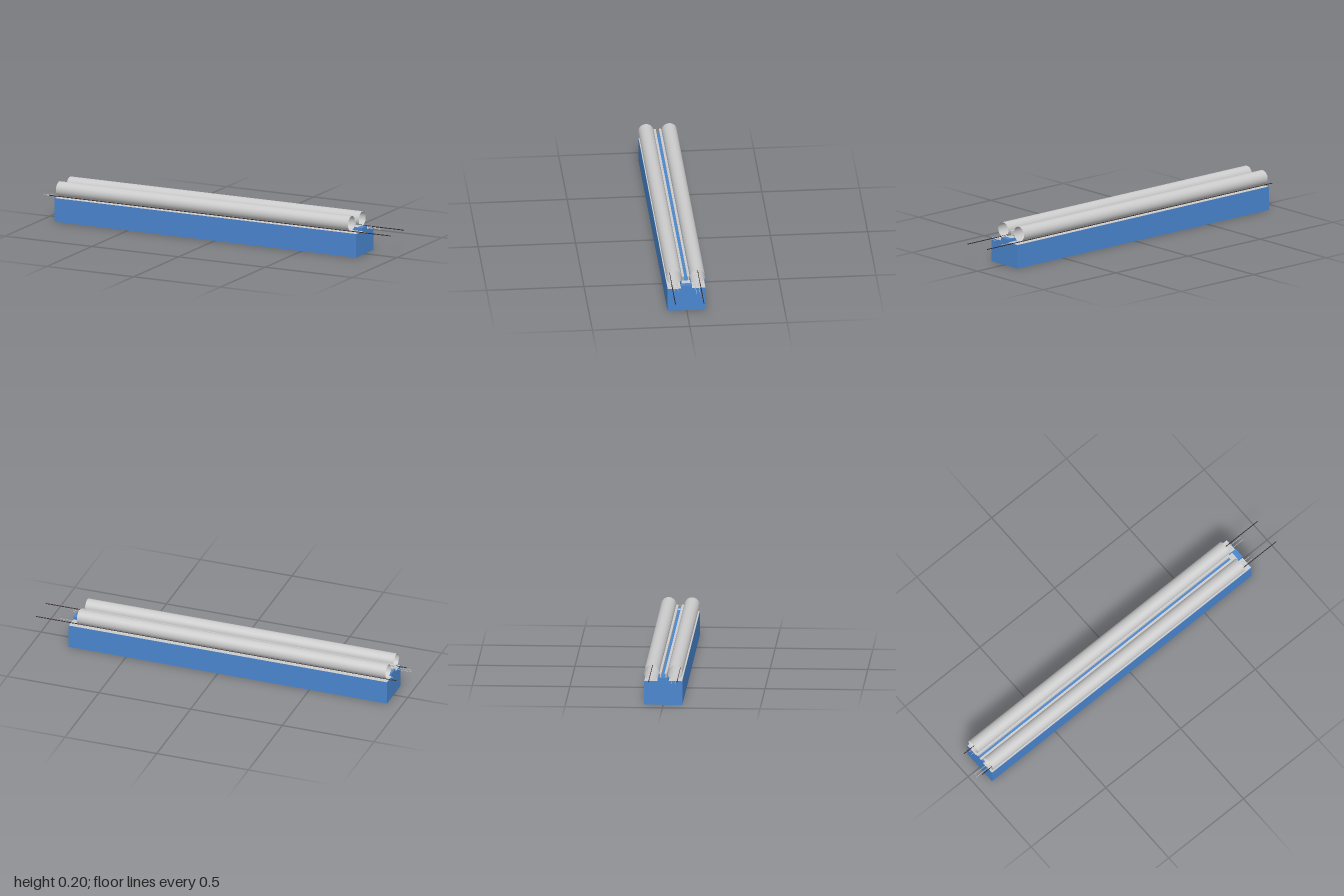
import * as THREE from 'three';

export function createModel() {
  const root = new THREE.Group();
  const material = (color) => new THREE.MeshStandardMaterial({ color, side: THREE.DoubleSide });
  const blue = material(0x4a86cf);
  const grey = material(0xcccccc);
  const dark = material(0x332424);

  // Box given by its limits on each axis
  function block(name, mat, [x0, x1], [y0, y1], [z0, z1]) {
    const mesh = new THREE.Mesh(new THREE.BoxGeometry(x1 - x0, y1 - y0, z1 - z0), mat);
    mesh.position.set((x0 + x1) / 2, (y0 + y1) / 2, (z0 + z1) / 2);
    mesh.name = name;
    root.add(mesh);
  }

  // Cylinder lying along x
  function rod(name, mat, x0, x1, y, z, radius, sides, open = false) {
    const geometry = new THREE.CylinderGeometry(radius, radius, x1 - x0, sides, 1, open);
    geometry.rotateZ(Math.PI / 2);
    const mesh = new THREE.Mesh(geometry, mat);
    mesh.position.set((x0 + x1) / 2, y, z);
    mesh.name = name;
    root.add(mesh);
  }

  const left = 0.813, right = -0.923, half = 0.098, top = 0.124, wall = 0.001;
  const span = [right, left];

  // Long housing, open underneath
  block('endWallLeft', blue, [left - wall, left], [0, top], [-half, half]);
  block('endWallRight', blue, [right, right + wall], [0, top], [-half, half]);

  // Raised channel along the middle, open underneath
  block('channelTop', blue, span, [0.139, 0.14], [-0.028, 0.028]);
  block('channelEndLeft', blue, [left - wall, left], [top, 0.14], [-0.028, 0.028]);
  block('channelEndRight', blue, [right, right + wall], [top, 0.14], [-0.028, 0.028]);
  block('channelEndPlate', grey, [0.755, 0.785], [0.139, 0.1415], [-0.022, 0.022]);

  for (const side of [1, -1]) {
    const across = (a, b) => (side > 0 ? [a, b] : [-b, -a]);
    const name = side > 0 ? 'front' : 'back';

    block(name + 'Wall', blue, span, [0, top], across(half - wall, half));
    block(name + 'TopPlate', grey, span, [top - wall, top], across(0.028, half - wall));
    block(name + 'ChannelWall', blue, span, [top, 0.139], across(0.027, 0.028));

    // Hollow tube
    rod(name + 'Tube', grey, -0.915, 0.768, 0.1665, side * 0.06, 0.0385, 32, true);

    // T-shaped rail between the tubes
    block(name + 'RailStem', grey, [-0.915, 0.755], [0.14, 0.163], across(0.011, 0.017));
    block(name + 'RailCap', grey, [-0.93, 0.76], [0.163, 0.168], across(0.008, 0.02));

    // Long thin rod and fine wires along the top plate
    rod(name + 'Rod', dark, -0.968, 1, 0.129, side * 0.073, 0.0022, 8);
    const wireEnds = side > 0 ? [-1, 0.845] : [-0.94, 0.88];
    for (const z of [0.046, 0.064]) {
      rod(name + 'Wire', grey, ...wireEnds, 0.1255, side * z, 0.0012, 6);
    }
  }
  return root;
}
